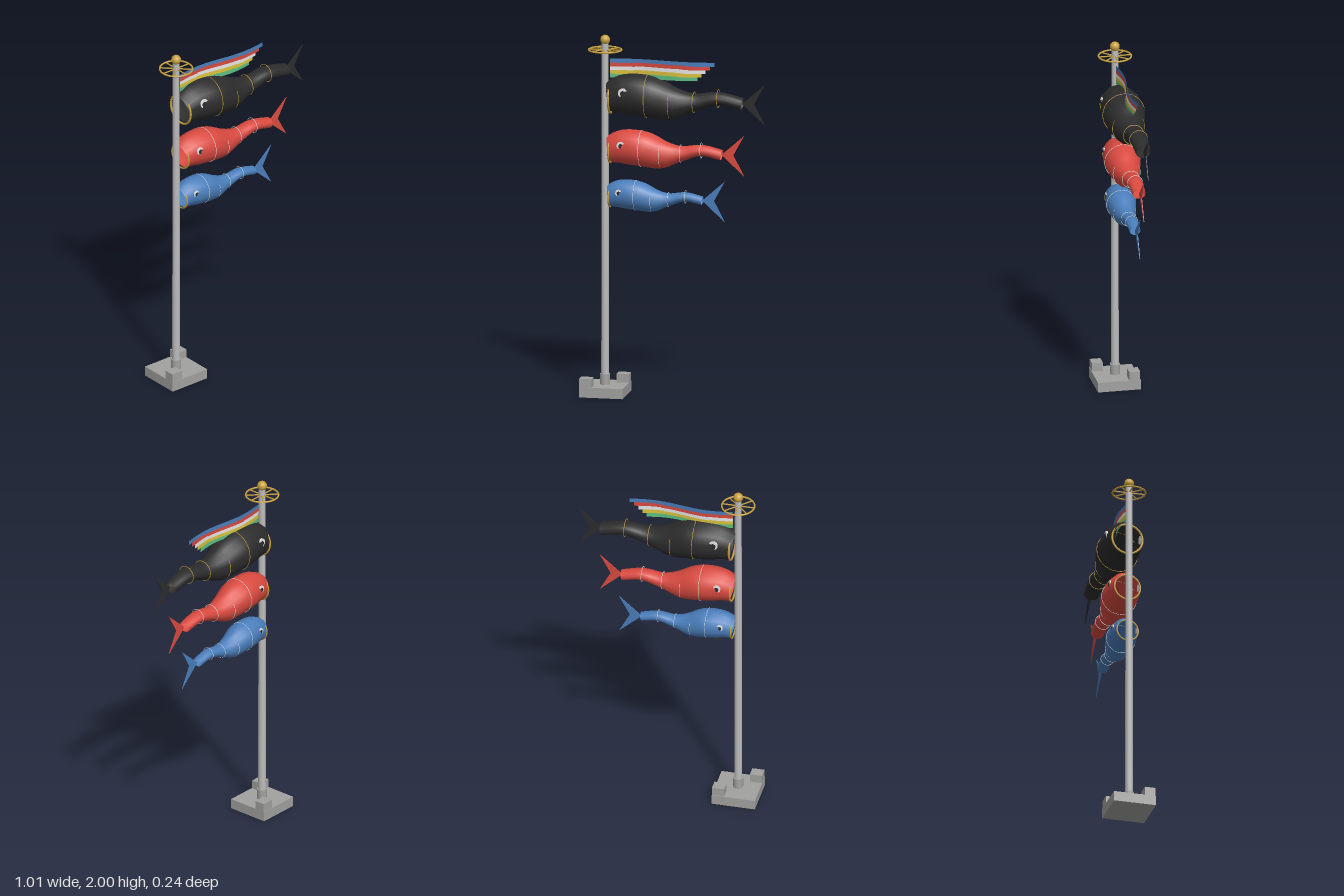
import * as THREE from 'three';
import { ParametricGeometry } from 'three/addons/geometries/ParametricGeometry.js';

const mat = (name, color, side = THREE.FrontSide) => {
  const m = new THREE.MeshStandardMaterial({ color, side });
  m.name = name;
  return m;
};

export function createModel() {
  const D = THREE.DoubleSide;
  const stone = mat('stone', 0xa2a29f);
  const steel = mat('steel', 0xbcbcbc);
  const gold = mat('gold', 0xc9a03c);
  const black = mat('black', 0x2c2c2c, D);
  const red = mat('red', 0xd94a40, D);
  const blue = mat('blue', 0x4a7ebb, D);
  const white = mat('white', 0xececec, D);
  const yellow = mat('yellow', 0xdcc23c, D);
  const green = mat('green', 0x5cbf82, D);

  const model = new THREE.Group();
  model.name = 'streamerPole';
  const add = (parent, name, geo, m, x = 0, y = 0, z = 0) => {
    const mesh = new THREE.Mesh(geo, m);
    mesh.name = name;
    mesh.position.set(x, y, z);
    parent.add(mesh);
    return mesh;
  };
  const PX = -0.385; // pole axis

  // Stone base with two corner blocks and a collar
  add(model, 'base', new THREE.BoxGeometry(0.242, 0.056, 0.238), stone, PX, 0.028, 0);
  add(model, 'frontBlock', new THREE.BoxGeometry(0.068, 0.048, 0.06), stone, PX - 0.086, 0.08, 0.086);
  add(model, 'backBlock', new THREE.BoxGeometry(0.068, 0.048, 0.06), stone, PX + 0.086, 0.08, -0.086);
  add(model, 'collar', new THREE.CylinderGeometry(0.028, 0.028, 0.06, 16), stone, PX, 0.085, 0);

  // Pole, finial and spoked wheel
  add(model, 'pole', new THREE.CylinderGeometry(0.019, 0.022, 1.9, 16), steel, PX, 1.005, 0);
  add(model, 'finial', new THREE.SphereGeometry(0.027, 16, 12), gold, PX, 1.973, 0);
  const wheel = new THREE.Group();
  wheel.name = 'wheel';
  wheel.position.set(PX, 1.917, 0);
  model.add(wheel);
  add(wheel, 'rim', new THREE.TorusGeometry(0.09, 0.005, 8, 32).rotateX(Math.PI / 2), gold);
  for (let i = 0; i < 4; i++) {
    const spoke = add(wheel, 'spoke', new THREE.CylinderGeometry(0.004, 0.004, 0.18, 6).rotateZ(Math.PI / 2), gold);
    spoke.rotation.y = i * Math.PI / 4;
  }

  // Ribbons that wave sideways, stacked from top to bottom
  [[blue, 0.58], [red, 0.555], [white, 0.53], [yellow, 0.508], [green, 0.485]].forEach(([m, len], i) => {
    const geo = new THREE.PlaneGeometry(len, 0.024, 24, 1).translate(len / 2, 0, 0);
    const p = geo.attributes.position;
    for (let k = 0; k < p.count; k++) p.setZ(k, -0.015 * Math.sin(2 * Math.PI * p.getX(k) / len));
    geo.computeVertexNormals();
    add(model, 'ribbon', geo, m, -0.357, 1.858 - i * 0.0205, 0);
  });

  // Fish windsock: spine x, spine y, half height, half width
  const stations = [
    [0.01, 0, 0.088, 0.085], [0.095, 0.019, 0.112, 0.105], [0.215, 0.013, 0.117, 0.117],
    [0.345, -0.018, 0.097, 0.09], [0.475, -0.01, 0.051, 0.057], [0.61, 0.017, 0.036, 0.05],
    [0.745, -0.009, 0.034, 0.042],
  ];
  const spine = new THREE.CatmullRomCurve3(stations.map(s => new THREE.Vector3(s[0], s[1], 0)));
  const girth = new THREE.CatmullRomCurve3(stations.map(s => new THREE.Vector3(s[2], s[3], s[0])));
  const bodyPoint = (u, v, out) => {
    const c = spine.getPoint(u), t = spine.getTangent(u), g = girth.getPoint(u);
    const a = v * Math.PI * 2, up = Math.cos(a) * g.x;
    out.set(c.x - t.y * up, c.y + t.x * up, -Math.sin(a) * g.y);
  };
  const tailShape = new THREE.Shape([[0, 0], [0.127, 0.112], [0.066, 0], [0.127, -0.116]]
    .map(([x, y]) => new THREE.Vector2(x, y)));

  const fish = (name, m, bandMat, y, s) => {
    const g = new THREE.Group();
    g.name = name;
    g.position.set(-0.365, y, 0);
    model.add(g);
    const body = new THREE.Group();
    body.name = 'bodyGroup';
    body.scale.setScalar(s);
    g.add(body);
    add(body, 'body', new ParametricGeometry(bodyPoint, 30, 14), m);
    // Mouth hoop
    add(body, 'mouthRing', new THREE.TorusGeometry(0.086, 0.006, 8, 28).rotateY(Math.PI / 2), gold, 0.013, 0, 0);
    // Thin bands
    for (const i of [2, 3, 4, 5]) {
      const [x, cy, , w] = stations[i];
      add(body, 'band', new THREE.TorusGeometry(w, 0.0018, 6, 32).rotateY(Math.PI / 2), bandMat, x, cy, 0);
    }
    // Eyes on both sides
    for (const side of [1, -1]) {
      add(body, 'eye', new THREE.CylinderGeometry(0.026, 0.026, 0.008, 20).rotateX(Math.PI / 2), white, 0.098, 0.045, side * 0.097);
      add(body, 'pupil', new THREE.CylinderGeometry(0.014, 0.014, 0.008, 16).rotateX(Math.PI / 2), black, 0.098, 0.043, side * 0.1);
    }
    // Forked tail
    const tail = new THREE.ExtrudeGeometry(tailShape, { depth: 0.004, bevelEnabled: false });
    add(g, 'tail', tail, m, 0.743 * s, -0.007 * s, -0.002);
  };
  fish('blackFish', black, gold, 1.655, 1);
  fish('redFish', red, white, 1.365, 0.845);
  fish('blueFish', blue, white, 1.105, 0.7);

  return model;
}
